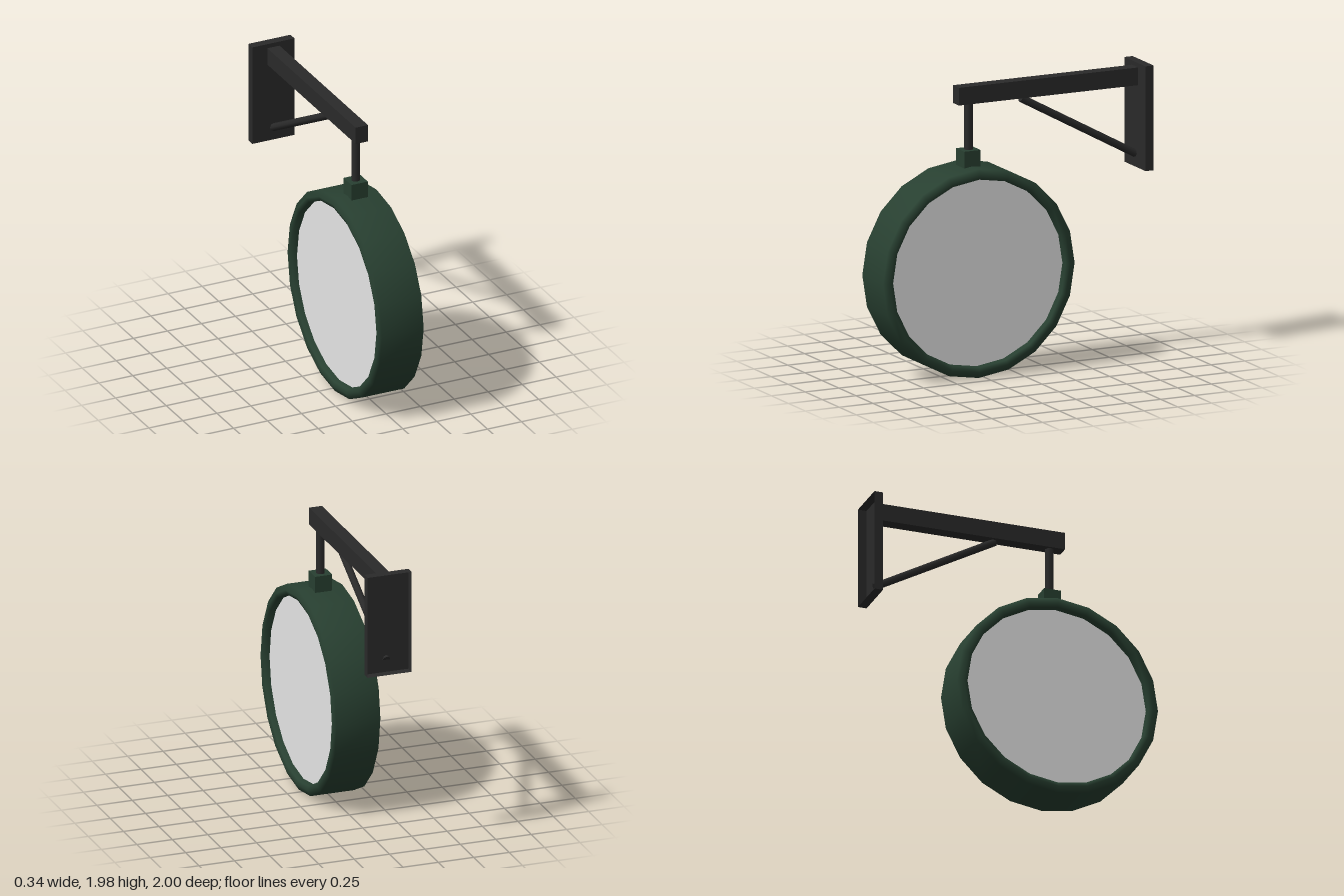
import * as THREE from 'three';

export function createModel() {
  const model = new THREE.Group();
  const material = (name, color, side = THREE.FrontSide) => {
    const m = new THREE.MeshStandardMaterial({ color, side });
    m.name = name;
    return m;
  };
  const metal = material('dark metal', 0x2a2a2a, THREE.DoubleSide);
  const green = material('green paint', 0x284031, THREE.DoubleSide);
  const pale = material('pale face', 0xe5e5e5);

  const add = (name, geometry, mat, x, y, z) => {
    const mesh = new THREE.Mesh(geometry, mat);
    mesh.name = name;
    mesh.position.set(x, y, z);
    model.add(mesh);
    return mesh;
  };
  // Round bar between two points
  const bar = (name, a, b, radius, sides) => {
    const dir = b.clone().sub(a);
    const mid = a.clone().add(b).multiplyScalar(0.5);
    const mesh = add(name, new THREE.CylinderGeometry(radius, radius, dir.length(), sides), metal, ...mid);
    mesh.quaternion.setFromUnitVectors(new THREE.Vector3(0, 1, 0), dir.normalize());
  };

  const drumY = 0.709, drumZ = 0.292;

  // Drum casing with rounded rims and a short inner lip, its axis along x
  const half = [[0.634, 0.115], [0.638, 0.16], [0.668, 0.171], [0.708, 0.153]];
  const profile = [
    ...half.map(([r, y]) => new THREE.Vector2(r, -y)),
    ...half.map(([r, y]) => new THREE.Vector2(r, y)).reverse(),
  ];
  add('drumCasing', new THREE.LatheGeometry(profile, 20), green, 0, drumY, drumZ).rotation.z = -Math.PI / 2;

  // Round faces set back inside the rims
  for (const side of [1, -1]) {
    const face = add(side > 0 ? 'leftFace' : 'rightFace', new THREE.CircleGeometry(0.636, 20), pale, side * 0.12, drumY, drumZ);
    face.rotation.y = side * Math.PI / 2;
  }

  // Hanger
  add('collar', new THREE.BoxGeometry(0.12, 0.145, 0.12), green, 0, 1.449, drumZ);
  bar('hangerRod', new THREE.Vector3(0, 1.5, drumZ), new THREE.Vector3(0, 1.86, drumZ), 0.03, 8);

  // Wall bracket
  add('beam', new THREE.BoxGeometry(0.09, 0.12, 1.325), metal, 0, 1.895, -0.2775);
  bar('brace', new THREE.Vector3(0, 1.827, -0.095), new THREE.Vector3(0, 1.364, -0.942), 0.026, 8);

  // Wall plate is a shallow tray, open at the back
  const tray = new THREE.BoxGeometry(0.31, 0.71, 0.06);
  tray.setIndex(Array.from(tray.index.array).slice(0, 30));
  tray.clearGroups();
  add('wallPlate', tray, metal, 0, 1.63, -0.97);

  return model;
}
